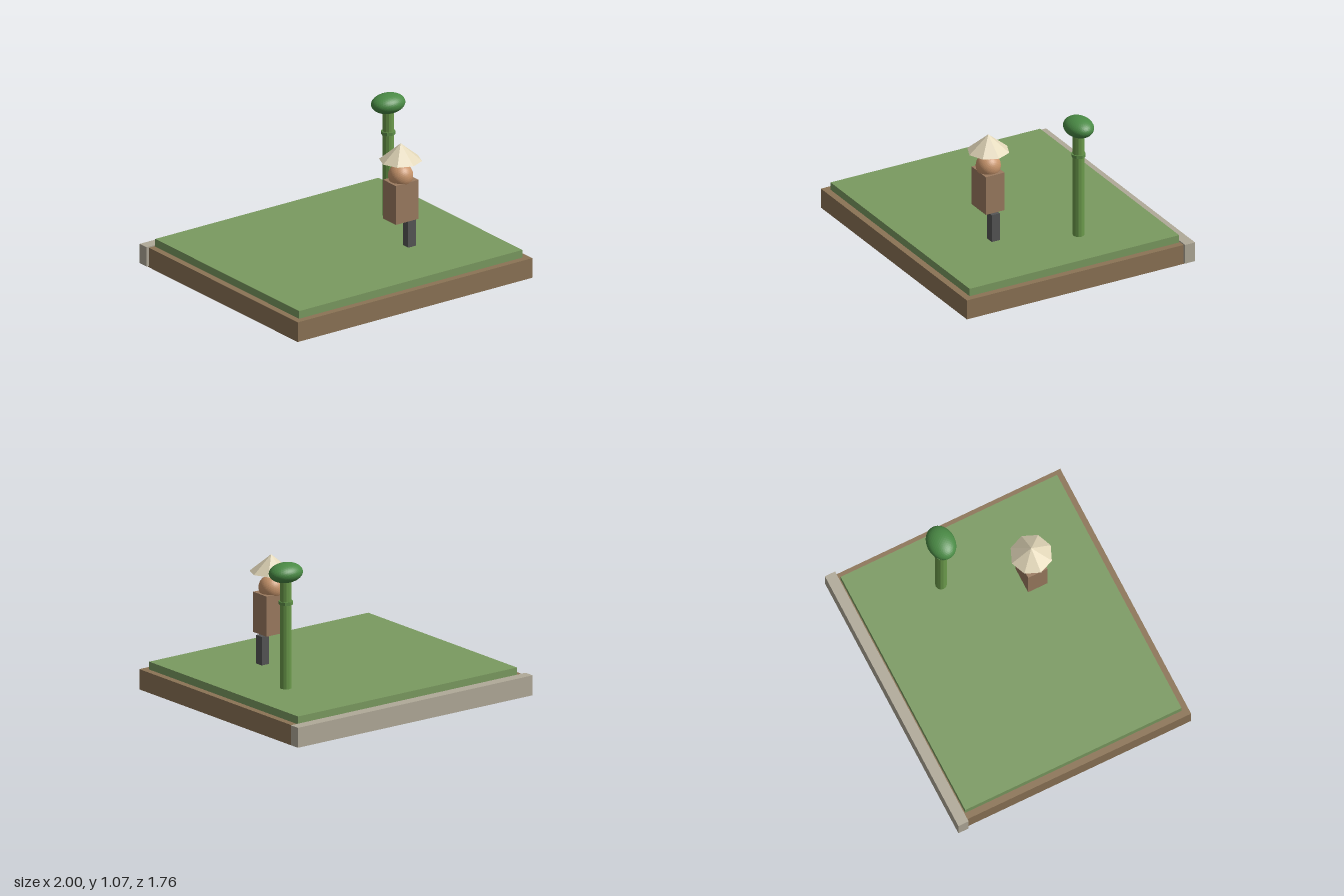
import * as THREE from 'three';

export function createModel() {
  const model = new THREE.Group();

  const add = (parent, name, geometry, color, x, y, z) => {
    const material = new THREE.MeshStandardMaterial({ color, flatShading: true });
    const mesh = new THREE.Mesh(geometry, material);
    mesh.name = name;
    mesh.position.set(x, y, z);
    parent.add(mesh);
    return mesh;
  };
  // Box given by its min and max corners
  const addBox = (parent, name, color, [x0, y0, z0], [x1, y1, z1]) =>
    add(parent, name, new THREE.BoxGeometry(x1 - x0, y1 - y0, z1 - z0), color,
      (x0 + x1) / 2, (y0 + y1) / 2, (z0 + z1) / 2);
  const addGroup = (name) => {
    const group = new THREE.Group();
    group.name = name;
    model.add(group);
    return group;
  };

  // Ground slab, grass and rear stone kerb
  const ground = addGroup('ground');
  addBox(ground, 'earthBase', 0x8b7355, [-0.98, 0, -0.84], [0.98, 0.142, 0.88]);
  addBox(ground, 'grass', 0x7a9a60, [-0.933, 0.142, -0.795], [0.933, 0.197, 0.832]);
  addBox(ground, 'rearWall', 0xb0a998, [-1, 0.01, -0.88], [1, 0.15, -0.803]);

  // Farmer standing on a single leg
  const farmer = addGroup('farmer');
  const fx = 0.295, fz = 0.318;
  addBox(farmer, 'leg', 0x555555, [0.335, 0.2, 0.288], [0.398, 0.4, 0.35]);
  addBox(farmer, 'torso', 0x9b7b60, [0.2, 0.41, 0.247], [0.39, 0.692, 0.392]);
  add(farmer, 'head', new THREE.IcosahedronGeometry(0.085, 7), 0xc8956c, fx, 0.724, fz);
  add(farmer, 'coneHat', new THREE.ConeGeometry(0.146, 0.12, 8), 0xe0d5b7, fx, 0.895, fz);

  // Bamboo stalk with a node ring and a leafy crown
  const bamboo = addGroup('bamboo');
  const bx = 0.585, bz = -0.215;
  add(bamboo, 'stalk', new THREE.CylinderGeometry(0.04, 0.04, 0.78, 12), 0x6b9a4b, bx, 0.587, bz);
  add(bamboo, 'nodeRing', new THREE.CylinderGeometry(0.05, 0.05, 0.022, 8), 0x5f8f48, bx, 0.796, bz);
  const crown = add(bamboo, 'leafCrown', new THREE.IcosahedronGeometry(1, 7), 0x4a8a45, bx, 1.006, bz);
  crown.scale.set(0.125, 0.068, 0.097);

  return model;
}
